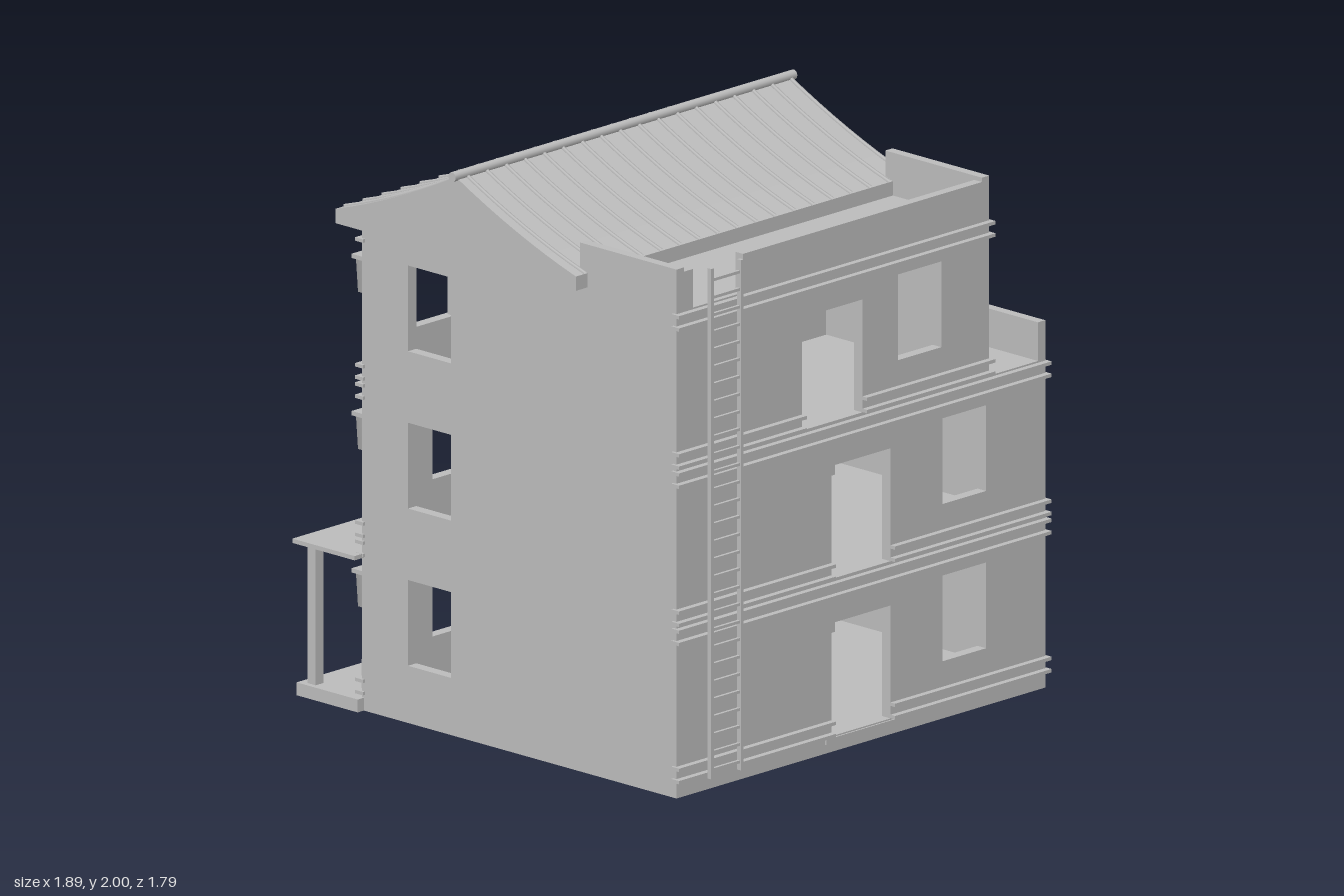
import * as THREE from 'three';

const stone = new THREE.MeshStandardMaterial({ color: 0xbcbcbc });
stone.name = 'plain grey';

const X0 = -0.875, XU = 0.63, XL = 0.9;   // left wall, upper and lower end walls
const ZF = 0.85, ZB = -0.615, T = 0.04;   // front, back, wall thickness
const FLOORS = [0.05, 0.6, 1.15];
const ROOF = 1.7;

export function createModel() {
  const model = new THREE.Group();
  model.name = 'house';

  const add = (name, geometry, parent = model) => {
    const mesh = new THREE.Mesh(geometry, stone);
    mesh.name = name;
    parent.add(mesh);
    return mesh;
  };
  // Box given by its limits on each axis
  const box = (name, x0, x1, y0, y1, z0, z1, parent) => {
    const g = new THREE.BoxGeometry(x1 - x0, y1 - y0, z1 - z0);
    g.translate((x0 + x1) / 2, (y0 + y1) / 2, (z0 + z1) / 2);
    return add(name, g, parent);
  };
  const shapeOf = pts => new THREE.Shape(pts.map(p => new THREE.Vector2(p[0], p[1])));
  const cut = (shape, x0, x1, y0, y1) => shape.holes.push(new THREE.Path(
    [[x0, y0], [x0, y1], [x1, y1], [x1, y0]].map(p => new THREE.Vector2(p[0], p[1]))));
  const extrude = (shape, depth) =>
    new THREE.ExtrudeGeometry(shape, { depth, bevelEnabled: false });
  // Profile drawn in (z, y), extruded from x1 back to x0
  const sideExtrude = (name, shape, x0, x1) =>
    add(name, extrude(shape, x1 - x0).rotateY(-Math.PI / 2).translate(x1, 0, 0));

  // Front and back walls with doors and windows on each floor
  const outline = [[X0, 0], [XL, 0], [XL, 1.15], [XU, 1.15], [XU, ROOF], [X0, ROOF]];
  const front = shapeOf(outline), back = shapeOf(outline);
  FLOORS.forEach((y, i) => {
    const top = i === 2;
    const door = top ? [-0.27, 0.02] : [-0.13, 0.155];
    const window = top ? [0.19, 0.4] : [0.405, 0.615];
    const farWindow = top ? [-0.655, -0.445] : [-0.575, -0.375];
    cut(front, door[0], door[1], y + 0.005, y + 0.4);
    cut(front, window[0], window[1], y + 0.15, y + 0.45);
    cut(back, door[0], door[1], y + 0.005, y + 0.4);
    for (const w of [window, farWindow]) {
      cut(back, w[0], w[1], y + 0.15, y + 0.45);
      box('windowHeader', w[0], w[1], y + 0.4, y + 0.45, ZB + 0.012, ZB + T);
      box('windowJamb', w[1] - 0.03, w[1], y + 0.15, y + 0.4, ZB + 0.012, ZB + T);
    }
  });
  add('frontWall', extrude(front, T)).position.z = ZF - T;
  add('backWall', extrude(back, T)).position.z = ZB;

  // End walls
  const endWall = (name, x0, y0, y1, floors, w0, w1) => {
    const s = shapeOf([[ZB + T, y0], [ZF - T, y0], [ZF - T, y1], [ZB + T, y1]]);
    floors.forEach(y => cut(s, w0, w1, y + 0.15, y + 0.45));
    sideExtrude(name, s, x0, x0 + T);
  };
  endWall('rightWall', X0, 0, ROOF, FLOORS, -0.4, -0.2);
  endWall('leftLowerWall', XL - T, 0, 1.15, FLOORS.slice(0, 2), -0.36, -0.125);
  endWall('leftUpperWall', XU - T, 1.15, ROOF, FLOORS.slice(2), -0.36, -0.125);

  // Floor slabs and roof deck
  [...FLOORS, ROOF].forEach((y, i) => {
    const end = i === 3 ? XU : XL;
    box('floorSlab', X0 + 0.002, end - 0.002, y - 0.05, y, ZB + 0.002, ZF - 0.002);
  });

  // Paired moulding strips at the foot and head of each floor
  FLOORS.forEach((y, i) => {
    const end = i === 2 ? XU : XL;
    const door = i === 2 ? [-0.27, 0.02] : [-0.13, 0.155];
    [0.012, 0.055, 0.495, 0.538].forEach(dy => {
      const runs = dy < 0.4
        ? [[X0 - 0.01, door[0]], [door[1], end + 0.008]] : [[X0 - 0.01, end + 0.008]];
      runs.forEach(([a, b]) => {
        box('frontMoulding', a, b, y + dy - 0.006, y + dy + 0.006, ZF - 0.015, ZF + 0.022);
        box('backMoulding', a, b, y + dy - 0.006, y + dy + 0.006, ZB - 0.022, ZB + 0.015);
      });
    });
  });

  // Parapets around the front deck and the side terrace
  box('deckParapetRight', X0, X0 + 0.035, ROOF, 1.85, 0.4, ZF);
  box('deckParapetLeft', XU - 0.035, XU, ROOF, 1.85, 0.4, ZF);
  box('deckParapetFront', -0.555, XU - 0.035, ROOF, 1.835, ZF - 0.035, ZF);
  box('deckParapetStub', X0 + 0.035, -0.795, ROOF, 1.835, ZF - 0.035, ZF);
  box('terraceParapet', XL - 0.035, XL, 1.15, 1.285, ZB, ZF);

  // Curved gable roof
  const RZ = -0.125, RX0 = -0.93, RX1 = 0.68;
  const slope = (side, x = 0) => new THREE.QuadraticBezierCurve3(
    new THREE.Vector3(x, 1.98, RZ),
    new THREE.Vector3(x, 1.835, RZ + side * 0.28),
    new THREE.Vector3(x, 1.75, RZ + side * 0.56));
  const profile = [[RZ - 0.56, ROOF], [RZ + 0.56, ROOF]];
  slope(1).getPoints(8).reverse().forEach(p => profile.push([p.z, p.y]));
  slope(-1).getPoints(8).slice(1).forEach(p => profile.push([p.z, p.y]));
  sideExtrude('gableRoof', shapeOf(profile), RX0, RX1);

  // Tile ribs and ridge pole
  const ribs = new THREE.Group();
  ribs.name = 'roofRibs';
  model.add(ribs);
  for (let i = 0; i < 18; i++) {
    const x = -0.884 + i * 0.0915;
    for (const side of [-1, 1])
      add('roofRib', new THREE.TubeGeometry(slope(side, x), 8, 0.008, 6), ribs);
  }
  const ridge = add('ridgePole', new THREE.CylinderGeometry(0.017, 0.017, 1.645, 12));
  ridge.rotation.z = Math.PI / 2;
  ridge.position.set(-0.125, 1.983, RZ);

  // Ladder up the front wall
  const ladder = new THREE.Group();
  ladder.name = 'ladder';
  model.add(ladder);
  for (const x of [-0.755, -0.612])
    box('ladderRail', x, x + 0.013, 0.05, 1.835, 0.878, 0.895, ladder);
  for (let i = 0; i < 29; i++) {
    const y = 0.08 + i * 0.0612;
    box('ladderRung', -0.745, -0.61, y - 0.005, y + 0.005, 0.881, 0.892, ladder);
  }

  // Front doorstep
  box('doorStep', -0.16, 0.185, 0.032, 0.05, ZF, ZF + 0.006);

  // Back porch with canopy, posts and name board left blank
  box('porchFloor', -0.905, 0.925, 0, 0.045, -0.89, ZB + 0.01);
  box('porchCanopy', -0.92, 0.943, 0.535, 0.55, -0.895, ZB + 0.01);
  for (const x of [-0.885, 0.865])
    box('porchPost', x, x + 0.037, 0.045, 0.535, -0.857, -0.82);
  box('blankBoard', -0.25, 0.28, 0.49, 0.565, ZB - 0.026, ZB);

  // Picket rows along the back wall
  for (const start of [-0.84, 0.22])
    for (let i = 0; i < 9; i++) {
      const x = start + i * 0.08, h = i % 2 ? 0.13 : 0.165;
      box('picket', x - 0.006, x + 0.006, 0.045, h, ZB - 0.03, ZB - 0.018);
    }

  // Wall lanterns
  FLOORS.forEach((y, i) => {
    for (const x of [-0.778, i === 2 ? 0.522 : 0.798]) {
      const lantern = new THREE.Group();
      lantern.name = 'wallLantern';
      model.add(lantern);
      box('lanternBracket', x - 0.01, x + 0.01, y + 0.38, y + 0.4, -0.65, ZB, lantern);
      box('lanternCap', x - 0.048, x + 0.048, y + 0.4, y + 0.415, -0.71, -0.635, lantern);
      const body = new THREE.CylinderGeometry(0.047, 0.04, 0.12, 4).rotateY(Math.PI / 4);
      add('lanternBody', body.toNonIndexed(), lantern).position.set(x, y + 0.34, -0.671);
      body.computeVertexNormals();
    }
  });

  // Inner partitions and a little furniture
  FLOORS.forEach((y, i) => {
    box('partition', -0.32, i === 2 ? 0.19 : 0.2, y, y + 0.5, 0.1, 0.13);
    const x = i === 2 ? 0.36 : 0.66;
    box('tableTop', x - 0.1, x + 0.1, y + 0.13, y + 0.145, -0.16, 0.02);
    for (const dx of [-0.085, 0.085])
      for (const z of [-0.145, 0.005])
        box('tableLeg', x + dx - 0.008, x + dx + 0.008, y, y + 0.13, z - 0.008, z + 0.008);
  });
  box('upperPartition', 0.3, XU - T, 1.15, 1.65, 0.1, 0.13);
  box('cabinet', -0.3, -0.2, 0.05, 0.54, -0.45, -0.1);
  return model;
}
